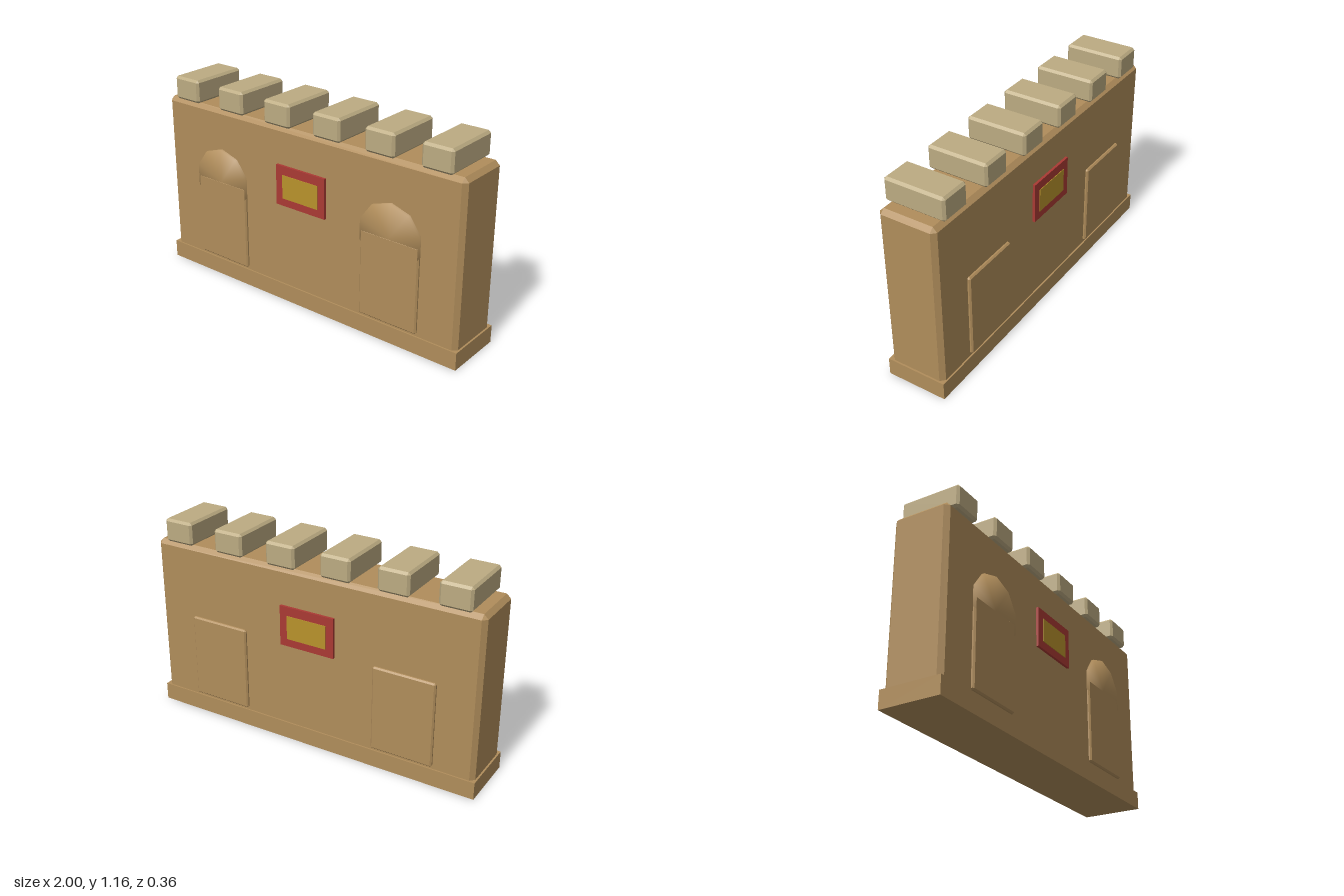
import * as THREE from 'three';
import { mergeVertices } from 'three/addons/utils/BufferGeometryUtils.js';
import { ConvexGeometry } from 'three/addons/geometries/ConvexGeometry.js';

const material = (name, color) => {
  const m = new THREE.MeshStandardMaterial({ color });
  m.name = name;
  return m;
};

// Box with every edge cut by a flat chamfer c
function chamferBox(w, h, d, c) {
  const points = [];
  for (const sx of [-1, 1]) for (const sy of [-1, 1]) for (const sz of [-1, 1]) {
    for (let axis = 0; axis < 3; axis++) {
      const inset = [0, 1, 2].map((i) => (i === axis ? 0 : c));
      points.push(new THREE.Vector3(
        sx * (w / 2 - inset[0]), sy * (h / 2 - inset[1]), sz * (d / 2 - inset[2])));
    }
  }
  return new ConvexGeometry(points);
}

// Ten-sided drum facing +z with softly shaded rim
function archDrum(radius, depth) {
  const g = new THREE.CylinderGeometry(radius, radius, depth, 10);
  g.rotateX(Math.PI / 2);
  g.rotateZ(Math.PI);
  g.deleteAttribute('normal');
  g.deleteAttribute('uv');
  const merged = mergeVertices(g);
  merged.computeVertexNormals();
  return merged;
}

export function createModel() {
  const model = new THREE.Group();
  model.name = 'battlementWall';
  const sandstone = material('sandstone', 0xb08d5b);
  const paleStone = material('paleStone', 0xbcab82);
  const red = material('red', 0xaa3a34);
  const gold = material('gold', 0xb8922c);

  const add = (name, geometry, mat, x, y, z = 0) => {
    const mesh = new THREE.Mesh(geometry, mat);
    mesh.name = name;
    mesh.position.set(x, y, z);
    model.add(mesh);
  };

  // Plinth and main wall
  add('plinth', new THREE.BoxGeometry(2, 0.1, 0.345), sandstone, 0, 0.05);
  add('wall', chamferBox(1.98, 0.975, 0.328, 0.024), sandstone, 0, 0.5375);

  // Row of merlons along the top
  const merlon = chamferBox(0.178, 0.132, 0.346, 0.013);
  for (let i = 0; i < 6; i++) add('merlon', merlon, paleStone, (i - 2.5) * 0.332, 1.092);

  // Door panels through the wall, with arched heads on the front only
  const panel = chamferBox(0.36, 0.49, 0.36, 0.008);
  const arch = archDrum(0.19, 0.178);
  for (const x of [-0.578, 0.578]) {
    add('doorPanel', panel, sandstone, x, 0.36);
    add('doorArch', arch, sandstone, x, 0.605, 0.09);
  }

  // Framed plaque on both faces
  add('plaqueFrame', new THREE.BoxGeometry(0.33, 0.23, 0.357), red, 0, 0.7);
  for (const s of [-1, 1]) {
    add('plaque', new THREE.BoxGeometry(0.24, 0.135, 0.006), gold, 0, 0.697, s * 0.179);
  }
  return model;
}
